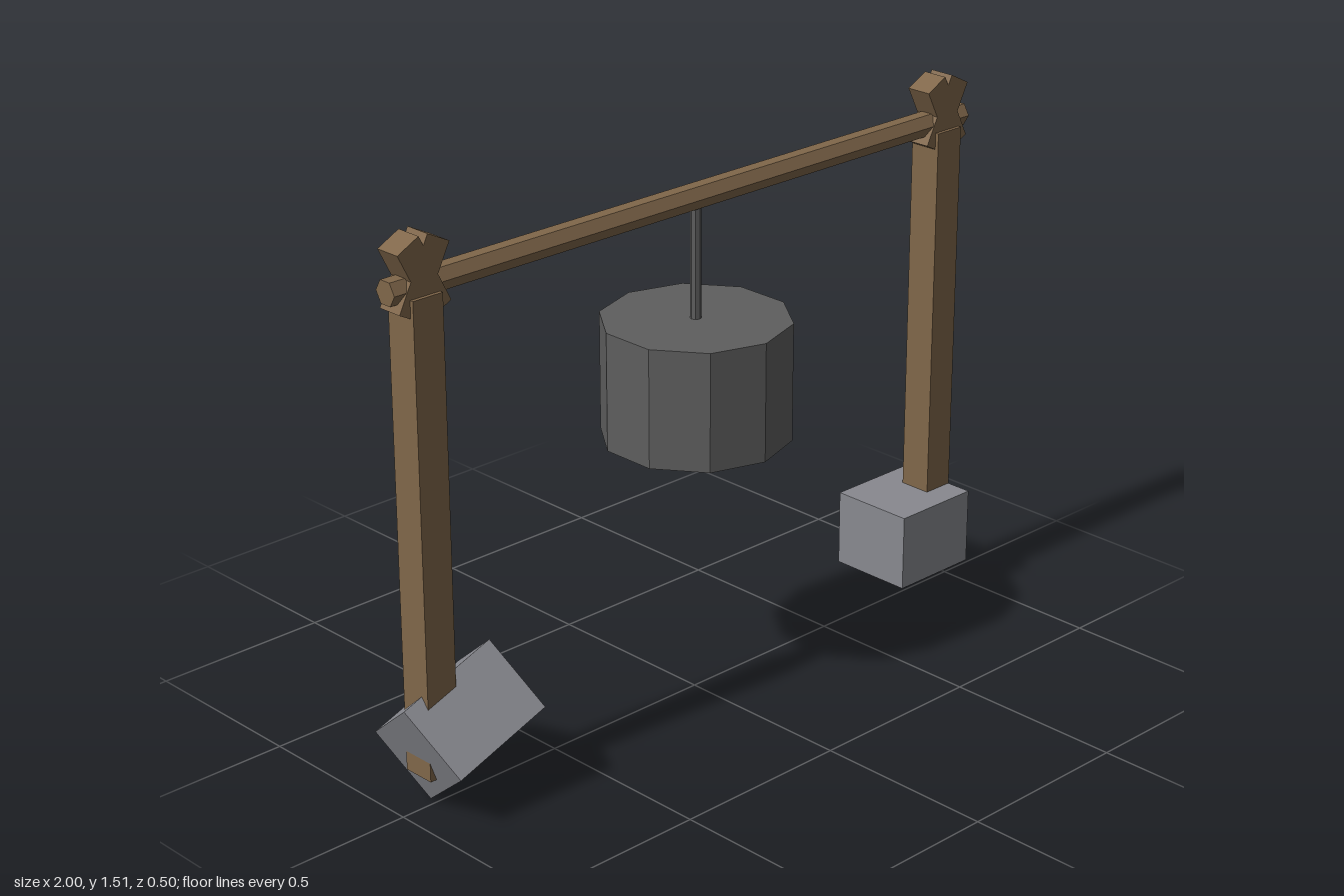
import * as THREE from 'three';

const rad = THREE.MathUtils.degToRad;

export function createModel() {
  const group = new THREE.Group();
  group.name = 'hangingWeightFrame';

  const material = (name, color) => {
    const m = new THREE.MeshStandardMaterial({ color, flatShading: true });
    m.name = name;
    return m;
  };
  const wood = material('wood', 0x80674a);
  const stone = material('stone', 0x88898f);
  const iron = material('iron', 0x5e5e5e);

  const add = (name, geometry, mat, x, y, z = 0) => {
    const mesh = new THREE.Mesh(geometry, mat);
    mesh.name = name;
    mesh.position.set(x, y, z);
    group.add(mesh);
    return mesh;
  };

  // Two posts, each topped by a pair of crossed pegs that cradle the beam
  for (const [side, x] of [['right', -0.901], ['left', 0.906]]) {
    add(side + 'Post', new THREE.BoxGeometry(0.09, 1.261, 0.092), wood, x, 0.728);
    for (const tilt of [-27, 27]) {
      const peg = add(side + 'CrossPeg', new THREE.BoxGeometry(0.072, 0.2, 0.072), wood, x, 1.402);
      peg.rotation.z = rad(tilt);
    }
  }

  // Six-sided beam lying along x, flat side up
  const beamShape = new THREE.CylinderGeometry(0.034, 0.034, 1.985, 6);
  beamShape.rotateZ(Math.PI / 2);
  add('beam', beamShape, wood, 0.003, 1.378);

  // Ten-sided weight on its rod
  add('rod', new THREE.CylinderGeometry(0.015, 0.015, 0.34, 8), iron, 0.004, 1.2);
  add('weight', new THREE.CylinderGeometry(0.251, 0.251, 0.322, 10), iron, 0.005, 0.891);

  // Foot stones: one level, one tumbled
  add('leftFootStone', new THREE.BoxGeometry(0.266, 0.213, 0.243), stone, 0.817, 0.205);
  const tumbled = add('rightFootStone', new THREE.BoxGeometry(0.293, 0.217, 0.243), stone, -0.81, 0.204);
  tumbled.rotation.set(rad(-40), 0, rad(20), 'ZYX');

  return group;
}
